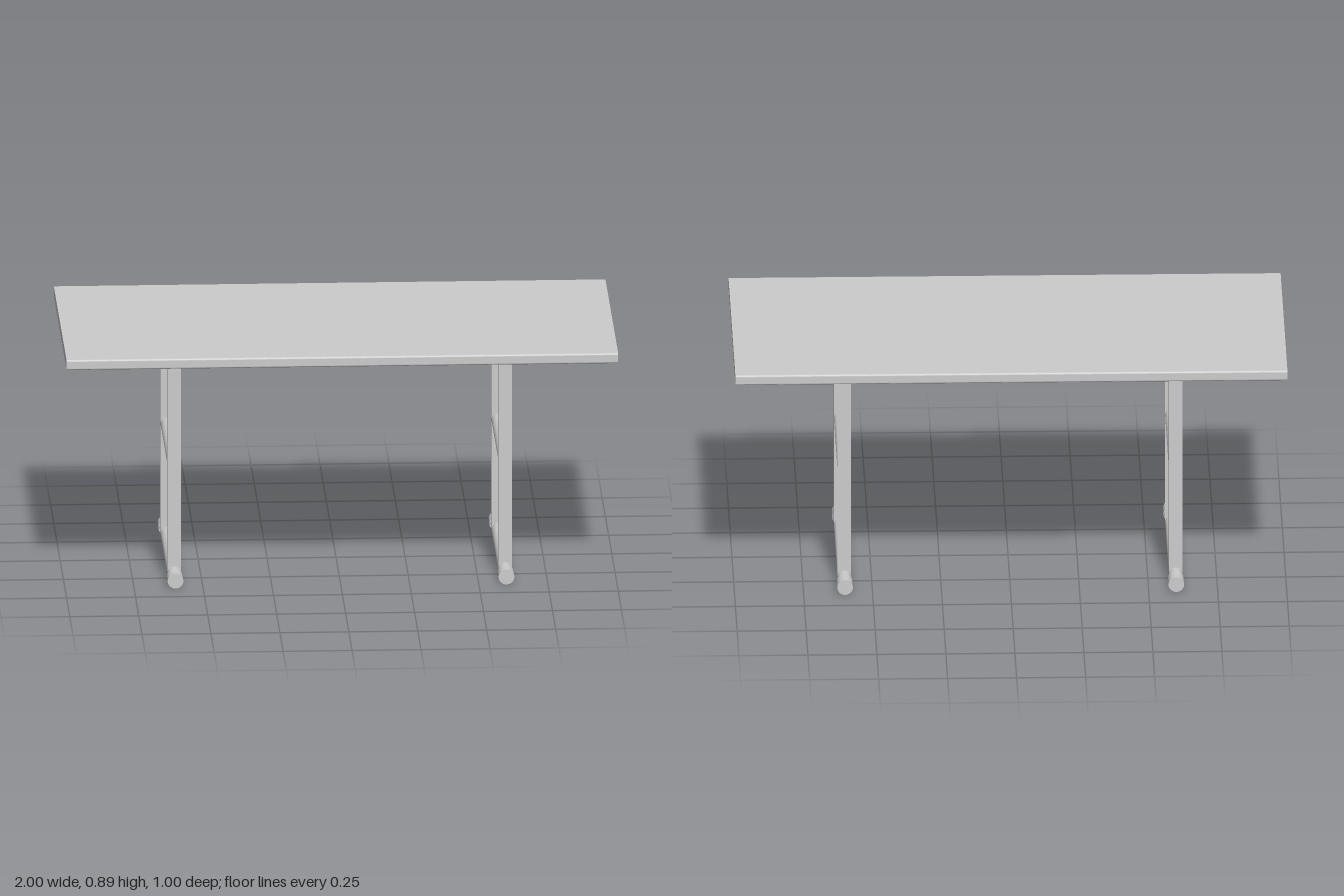
import * as THREE from 'three';

const material = new THREE.MeshStandardMaterial({ color: 0xcccccc });

function addMesh(parent, geometry, name, x = 0, y = 0, z = 0) {
  const mesh = new THREE.Mesh(geometry, material);
  mesh.name = name;
  mesh.position.set(x, y, z);
  parent.add(mesh);
  return mesh;
}

// Round bar lying along z
function addBar(parent, name, radius, length, y, z = 0) {
  const geometry = new THREE.CylinderGeometry(radius, radius, length, 32).rotateX(Math.PI / 2);
  return addMesh(parent, geometry, name, 0, y, z);
}

// Slab with slightly rounded long edges, extruded along x
function tabletopGeometry(length, depth, thickness, r) {
  const w = depth / 2, h = thickness / 2;
  const shape = new THREE.Shape();
  shape.absarc(w - r, h - r, r, 0, Math.PI / 2);
  shape.absarc(-w + r, h - r, r, Math.PI / 2, Math.PI);
  shape.absarc(-w + r, -h + r, r, Math.PI, Math.PI * 1.5);
  shape.absarc(w - r, -h + r, r, Math.PI * 1.5, Math.PI * 2);
  return new THREE.ExtrudeGeometry(shape, { depth: length, bevelEnabled: false, curveSegments: 6 })
    .translate(0, 0, -length / 2)
    .rotateY(Math.PI / 2);
}

// Flat upright with a rounded top, thin along z
function uprightGeometry(halfWidth, bottom, top, thickness) {
  const shape = new THREE.Shape();
  shape.moveTo(-halfWidth, bottom);
  shape.lineTo(halfWidth, bottom);
  shape.absarc(0, top - halfWidth, halfWidth, 0, Math.PI);
  shape.closePath();
  return new THREE.ExtrudeGeometry(shape, { depth: thickness, bevelEnabled: false, curveSegments: 20 })
    .translate(0, 0, -thickness / 2);
}

export function createModel() {
  const table = new THREE.Group();
  table.name = 'table';

  addMesh(table, tabletopGeometry(2, 1, 0.038, 0.007), 'tabletop', 0, 0.875, 0);

  for (const side of [1, -1]) {
    const frame = new THREE.Group();
    frame.name = side > 0 ? 'leftLegFrame' : 'rightLegFrame';
    frame.position.x = side * 0.6;
    table.add(frame);

    // Crossbars and floor bar
    addBar(frame, 'topBar', 0.0245, 0.51, 0.83);
    addBar(frame, 'middleBar', 0.0245, 0.51, 0.441);
    addBar(frame, 'floorBar', 0.0245, 0.7, 0.029);

    // Uprights and end caps, front and back
    for (const end of [1, -1]) {
      const label = end > 0 ? 'front' : 'back';
      addMesh(frame, uprightGeometry(0.0245, 0.03, 0.856, 0.035), label + 'Upright', 0, 0, end * 0.2665);
      addBar(frame, label + 'FootCap', 0.0285, 0.066, 0.0285, end * 0.359);
    }
  }
  return table;
}
